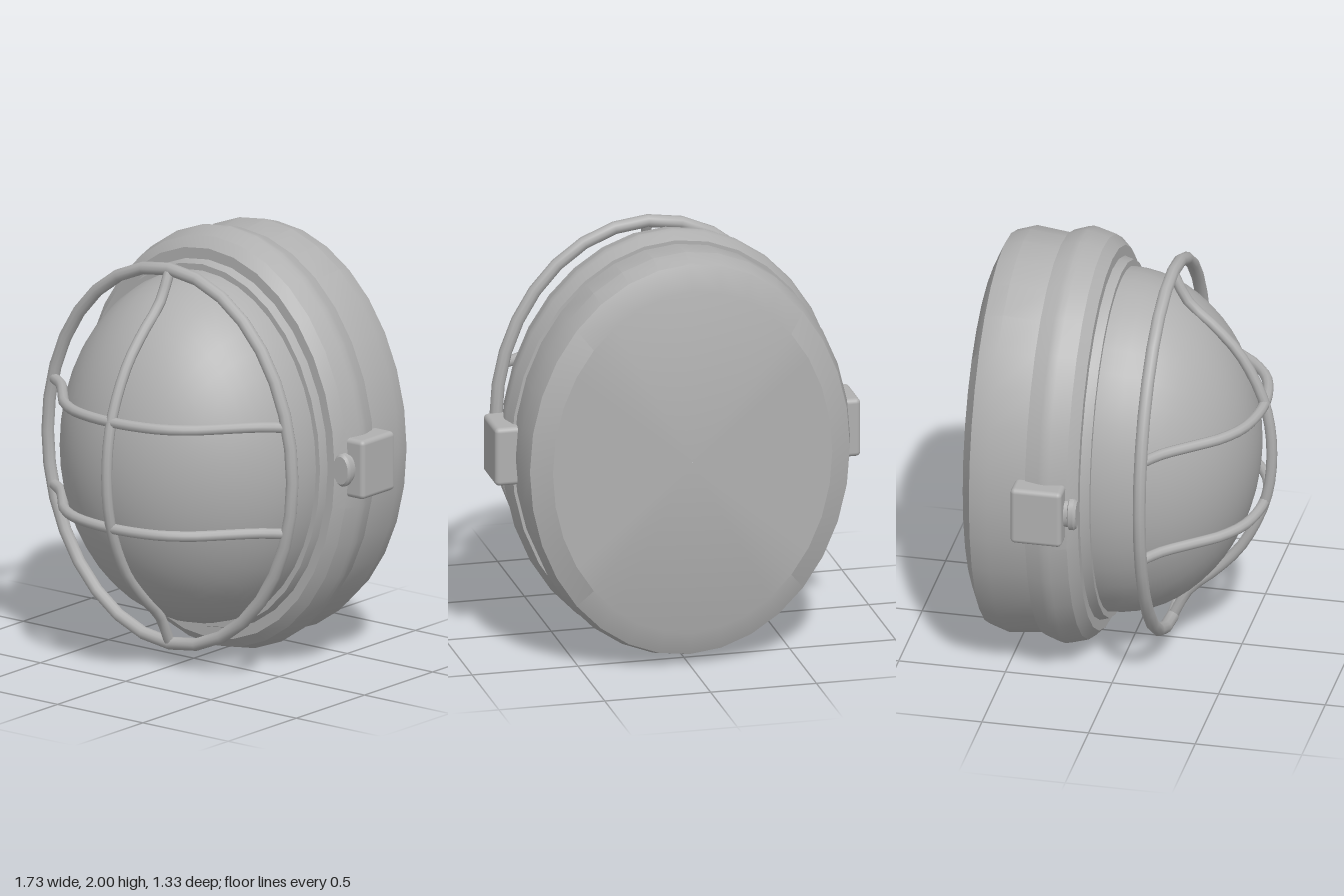
import * as THREE from 'three';
import { toCreasedNormals } from 'three/addons/utils/BufferGeometryUtils.js';
import { RoundedBoxGeometry } from 'three/addons/geometries/RoundedBoxGeometry.js';

const ASPECT = 0.8; // width of the oval relative to its height

export function createModel() {
  const model = new THREE.Group();
  model.name = 'bulkheadLamp';
  const grey = new THREE.MeshStandardMaterial({ color: 0xb0b0b0 });
  grey.name = 'grey';

  const add = (name, geometry, x = 0, y = 1, z = 0) => {
    const mesh = new THREE.Mesh(geometry, grey);
    mesh.name = name;
    mesh.position.set(x, y, z);
    model.add(mesh);
    return mesh;
  };

  // Turns a [radius, z] profile around z and squeezes it into an oval
  const ovalLathe = (profile, xScale, segments, crease) => {
    const points = profile.map(([r, z]) => new THREE.Vector2(r, z));
    const geometry = new THREE.LatheGeometry(points, segments);
    geometry.rotateX(Math.PI / 2);
    geometry.scale(xScale, 1, 1);
    return toCreasedNormals(geometry, crease);
  };

  // Back housing
  add('housing', ovalLathe([
    [0.001, -0.665], [0.825, -0.665], [0.945, -0.615], [0.975, -0.525],
    [0.955, -0.35], [0.9, -0.34],
  ], ASPECT, 32, 0.45));

  // Front clamping rim with the stepped seat of the glass
  add('rim', ovalLathe([
    [0.9, -0.35], [0.972, -0.35], [0.995, -0.285], [1, -0.26], [0.995, -0.235],
    [0.972, -0.155], [0.925, -0.108], [0.873, -0.108], [0.86, -0.065], [0.8, -0.065],
  ], ASPECT, 32, 0.45));

  // Glass dome
  const dome = new THREE.SphereGeometry(1, 40, 16, 0, Math.PI * 2, 0, Math.PI / 2);
  dome.rotateX(Math.PI / 2);
  dome.scale(0.83 * ASPECT, 0.83, 0.65);
  add('glassDome', dome, 0, 1, -0.07);

  // Guard: oval wire ring
  const ringPoints = Array.from({ length: 32 }, (_, i) => {
    const a = (i / 32) * Math.PI * 2;
    return new THREE.Vector3(0.717 * Math.cos(a), 0.89 * Math.sin(a), 0.175);
  });
  const ring = new THREE.CatmullRomCurve3(ringPoints, true);
  add('guardRing', new THREE.TubeGeometry(ring, 32, 0.03, 10, true));

  // Guard: bowed wires, mirrored from half a path of [offset, z]
  const bowedWire = (half, toPoint) => {
    const mirrored = half.slice(1).reverse().map(([u, z]) => [-u, z]);
    const points = [...mirrored, ...half].map(([u, z]) => toPoint(u, z));
    return new THREE.TubeGeometry(new THREE.CatmullRomCurve3(points), 28, 0.025, 10);
  };
  const tall = [[0, 0.64], [0.25, 0.608], [0.485, 0.5], [0.62, 0.385], [0.745, 0.25], [0.88, 0.18]];
  const wide = [[0, 0.605], [0.24, 0.565], [0.375, 0.48], [0.46, 0.385], [0.585, 0.245], [0.685, 0.175]];
  add('guardVerticalWire', bowedWire(tall, (u, z) => new THREE.Vector3(0, u, z)));
  for (const y of [0.75, 1.255]) {
    add('guardCrossWire', bowedWire(wide, (u, z) => new THREE.Vector3(u, 0, z)), 0, y, 0);
  }

  // Side clamps, each with an oval screw head in front
  for (const side of [-1, 1]) {
    add('sideClamp', new RoundedBoxGeometry(0.125, 0.28, 0.24, 3, 0.022), side * 0.801, 1.005, -0.28);
    add('clampScrew', ovalLathe([
      [0.001, -0.06], [0.065, -0.06], [0.065, -0.04], [0.078, -0.035],
      [0.078, -0.012], [0.066, 0], [0.001, 0],
    ], 0.64, 20, 0.45), side * 0.778, 1.005, -0.102);
  }

  return model;
}
